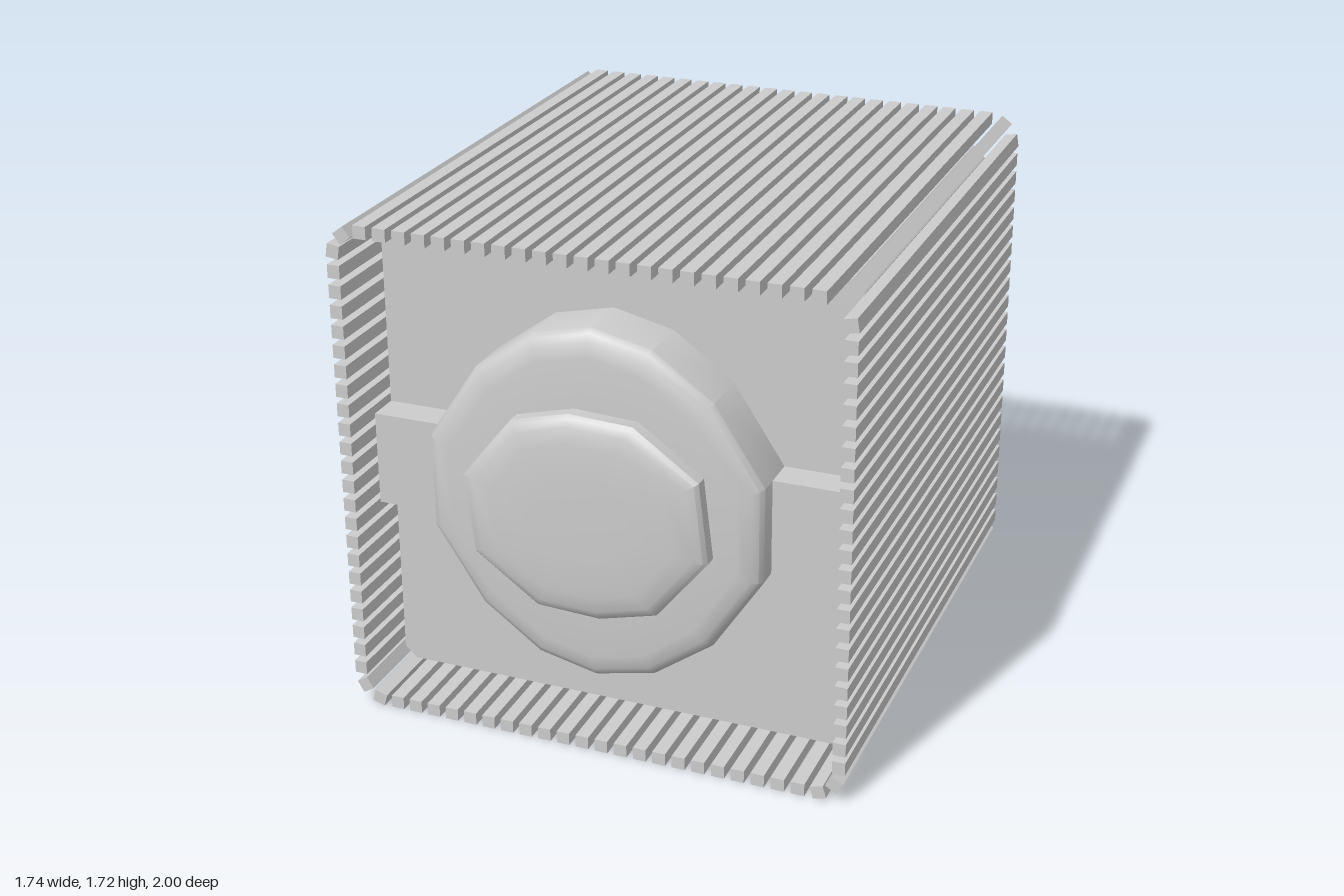
import * as THREE from 'three';
import { toCreasedNormals } from 'three/addons/utils/BufferGeometryUtils.js';

const CY = 0.863; // height of the model's centre
const material = new THREE.MeshStandardMaterial({ color: 0xcccccc });

function add(parent, geometry, name) {
  const mesh = new THREE.Mesh(geometry, material);
  mesh.name = name;
  parent.add(mesh);
  return mesh;
}

// Stack scaled copies of an outline along z and close it at the last ring.
// rings: [scale, z]; side: +1 faces front, -1 faces back.
function loft(outline, rings, side) {
  const pts = side > 0 ? outline : [...outline].reverse();
  const n = pts.length;
  const pos = [];
  const index = [];
  for (const [s, z] of rings) for (const [x, y] of pts) pos.push(x * s, y * s, z * side);
  for (let r = 0; r < rings.length - 1; r++) {
    for (let i = 0; i < n; i++) {
      const j = (i + 1) % n;
      const a = r * n + i, b = r * n + j;
      index.push(a, b, b + n, a, b + n, a + n);
    }
  }
  const last = (rings.length - 1) * n;
  pos.push(0, 0, rings[rings.length - 1][1] * side);
  for (let i = 0; i < n; i++) index.push(last + i, last + (i + 1) % n, rings.length * n);
  const g = new THREE.BufferGeometry();
  g.setAttribute('position', new THREE.Float32BufferAttribute(pos, 3));
  g.setIndex(index);
  return toCreasedNormals(g, 0.6);
}

// Slats spaced evenly around a rounded rectangle, starting at top centre
function slatShell() {
  const shell = new THREE.Group();
  shell.name = 'slatShell';
  const hw = 0.848, hh = 0.84, r = 0.09, count = 97;
  const arc = r * Math.PI / 2;
  // straight runs, each followed by a corner turning clockwise
  const runs = [hw - r, 2 * (hh - r), 2 * (hw - r), 2 * (hh - r), hw - r];
  const total = runs.reduce((a, b) => a + b, 0) + 4 * arc;
  const slat = new THREE.BoxGeometry(0.045, 0.043, 1.89);
  for (let k = 0; k < count; k++) {
    let s = (k * total) / count;
    let x = 0, y = hh, heading = 0;
    for (const run of runs) {
      const d = Math.min(s, run);
      x += Math.cos(heading) * d;
      y += Math.sin(heading) * d;
      s -= d;
      if (s <= 0) break;
      const turn = Math.min(s, arc) / r;
      const next = heading - turn;
      x += r * (Math.sin(heading) - Math.sin(next));
      y += r * (Math.cos(next) - Math.cos(heading));
      heading = next;
      s -= turn * r;
      if (s <= 1e-9) break;
    }
    const m = add(shell, slat, 'slat');
    m.position.set(x, y + CY, 0);
    m.rotation.z = heading;
  }
  return shell;
}

export function createModel() {
  const model = new THREE.Group();
  model.name = 'slattedCube';
  model.add(slatShell());

  // Inner body with chamfered long edges
  const w = 0.81, c = 0.04;
  const body = new THREE.Shape([
    [w - c, -w], [w, c - w], [w, w - c], [w - c, w],
    [c - w, w], [-w, w - c], [-w, c - w], [c - w, -w],
  ].map(([x, y]) => new THREE.Vector2(x, y)));
  const bodyGeo = new THREE.ExtrudeGeometry(body, { depth: 1.4, bevelEnabled: false });
  bodyGeo.translate(0, CY, -0.7);
  add(model, bodyGeo, 'body');

  // Fourteen-sided outline of the large disc
  const quarter = [[0.568, 0.161], [0.4, 0.419], [0.2, 0.564]];
  const half = [...quarter, [0, 0.61], ...quarter.map(([x, y]) => [-x, y]).reverse()];
  const discOutline = [...half, ...half.map(([x, y]) => [-x, -y])];

  // Irregular ten-sided outline of the cap
  const capHalf = [[0.384, 0.186], [0.168, 0.34], [-0.047, 0.35], [-0.242, 0.298], [-0.415, 0.084]];
  const capOutline = [...capHalf, ...capHalf.map(([x, y]) => [-x, -y])];

  // The same fittings on front and back
  for (const side of [1, -1]) {
    const end = new THREE.Group();
    end.name = side > 0 ? 'frontFittings' : 'backFittings';
    end.position.y = CY;
    const bar = add(end, new THREE.BoxGeometry(1.62, 0.322, 0.13), 'crossBar');
    bar.position.z = side * 0.745;
    add(end, loft(discOutline,
      [[1, 0.69], [1, 0.875], [0.98, 0.895], [0.94, 0.91], [0.86, 0.918], [0.5, 0.92]], side), 'disc');
    add(end, loft(capOutline,
      [[1, 0.9], [1, 0.962], [0.97, 0.975], [0.9, 0.987], [0.75, 0.996], [0.4, 1]], side), 'cap');
    model.add(end);
  }
  return model;
}
